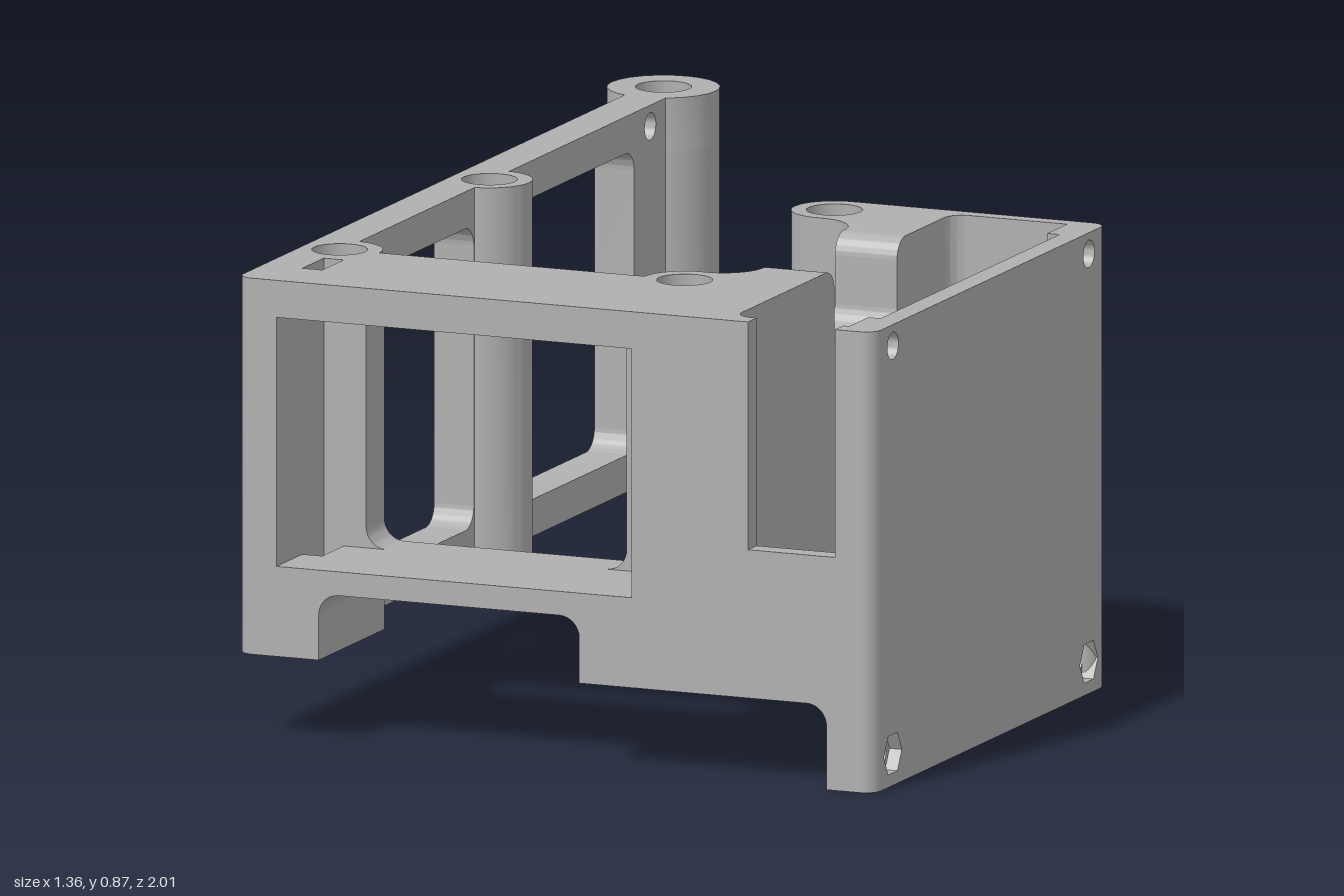
import * as THREE from 'three';
import { toCreasedNormals } from 'three/addons/utils/BufferGeometryUtils.js';

const PI = Math.PI, H = PI / 2;
const BOTTOM = 0.16, TOP = 0.87;

export function createModel() {
  const model = new THREE.Group();
  model.name = 'mountingBracket';
  const grey = new THREE.MeshStandardMaterial({ color: 0xb0b0b0 });
  grey.name = 'plain grey';

  const add = (name, geo) => {
    const mesh = new THREE.Mesh(geo, grey);
    mesh.name = name;
    model.add(mesh);
  };
  // Extrudes a shape along an axis from a to b. Shape coordinates: z:(x,y)  y:(x,z)  x:(z,y)
  const prism = (name, shape, axis, a, b) => {
    let geo = new THREE.ExtrudeGeometry(shape, { depth: b - a, bevelEnabled: false, curveSegments: 12 });
    if (axis === 'z') geo.translate(0, 0, a);
    if (axis === 'y') geo.rotateX(H).translate(0, b, 0);
    if (axis === 'x') geo.rotateY(-H).translate(b, 0, 0);
    add(name, toCreasedNormals(geo, 0.6));
  };
  const box = (name, x0, x1, y0, y1, z0, z1) => add(name,
    new THREE.BoxGeometry(x1 - x0, y1 - y0, z1 - z0)
      .translate((x0 + x1) / 2, (y0 + y1) / 2, (z0 + z1) / 2));
  const lines = (s, pts) => { pts.forEach(p => s.lineTo(...p)); return s; };
  const poly = pts => new THREE.Shape(pts.map(p => new THREE.Vector2(...p)));
  const rect = (a, b, c, d) => poly([[a, c], [b, c], [b, d], [a, d]]);
  const circle = (u, v, r) => new THREE.Path().absarc(u, v, r, 0, PI * 2, false);
  const hexagon = (u, v, r) => new THREE.Path([0, 1, 2, 3, 4, 5].map(i =>
    new THREE.Vector2(u + r * Math.cos(i * PI / 3), v + r * Math.sin(i * PI / 3))));
  const roundRect = (a, b, c, d, r) => new THREE.Path()
    .absarc(b - r, d - r, r, 0, H, false).absarc(a + r, d - r, r, H, PI, false)
    .absarc(a + r, c + r, r, PI, 3 * H, false).absarc(b - r, c + r, r, 3 * H, 4 * H, false)
    .closePath();
  // Concave corner filler at (u,v), opening towards (su,sv)
  const fillet = (name, u, v, su, sv, r, axis, a, b) => {
    const pts = [[u, v]];
    for (let i = 0; i <= 8; i++) {
      const t = H * i / 8;
      pts.push([u + su * r * (1 - Math.sin(t)), v + sv * r * (1 - Math.cos(t))]);
    }
    prism(name, poly(pts), axis, a, b);
  };
  const withHoles = (shape, ...holes) => { shape.holes.push(...holes); return shape; };

  // Long side wall with its windows and screw holes
  prism('rearSideFrame', withHoles(rect(-0.82, -0.08, BOTTOM, TOP),
    roundRect(-0.66, -0.084, 0.23, 0.8, 0.04),
    circle(-0.735, 0.83, 0.026), circle(-0.735, 0.26, 0.026)), 'x', -0.61, -0.53);
  prism('middleSideFrame', withHoles(rect(0.08, 0.615, BOTTOM, TOP),
    roundRect(0.084, 0.611, 0.23, 0.8, 0.04)), 'x', -0.61, -0.53);
  prism('frontSideFrame', withHoles(rect(0.78, 0.97, BOTTOM, TOP),
    circle(0.92, 0.83, 0.026), circle(0.92, 0.26, 0.026)), 'x', -0.61, -0.53);
  box('frontSideEdge', -0.58, -0.53, BOTTOM, TOP, 0.97, 1);
  add('frontSideRoundedEdge',
    new THREE.CylinderGeometry(0.03, 0.03, TOP - BOTTOM, 32).translate(-0.58, (BOTTOM + TOP) / 2, 0.97));

  // Rear post with a counterbored hole
  for (const [y0, y1, r] of [[BOTTOM, 0.77, 0.035], [0.77, TOP, 0.052]]) {
    const disc = new THREE.Shape().absarc(-0.575, -0.9, 0.105, 0, PI * 2, false);
    prism('rearPost', withHoles(disc, circle(-0.575, -0.9, r)), 'y', y0, y1);
  }

  // Middle post, flat on the outer side
  const middle = new THREE.Shape().moveTo(-0.61, -0.08).lineTo(-0.535, -0.08)
    .absarc(-0.535, 0, 0.08, -H, H, false).lineTo(-0.61, 0.08);
  prism('middlePost', withHoles(middle, circle(-0.535, 0, 0.052)), 'y', BOTTOM, TOP);

  // Front right post and corner, in layers around the front recess and small slot
  const slotted = [[-0.445, 1], [-0.53, 1], [-0.53, 0.88], [-0.49, 0.88], [-0.49, 0.78], [-0.61, 0.78]];
  const recessed = [[-0.445, 0.78], [-0.61, 0.78]];
  for (const [y0, y1, tail] of [[BOTTOM, 0.33, slotted], [0.33, 0.8, recessed], [0.8, TOP, slotted]]) {
    const s = new THREE.Shape().moveTo(-0.61, 0.615).lineTo(-0.535, 0.615)
      .absarc(-0.535, 0.695, 0.08, -H, 0, false).lineTo(-0.445, 0.695);
    prism('frontRightPost', withHoles(lines(s, tail), circle(-0.535, 0.695, 0.052)), 'y', y0, y1);
  }

  // Front left post and block, in layers around the recess and its shallow pocket
  const full = [[0.08, 1]];
  const recess = [[0.185, 1], [0.185, 0.78], [0.08, 0.78]];
  const pocket = [[0.185, 1], [0.185, 0.755], [0.11, 0.755], [0.11, 0.78], [0.08, 0.78]];
  for (const [y0, y1, tail] of [[BOTTOM, 0.33, full], [0.33, 0.47, recess], [0.47, 0.675, pocket],
    [0.675, 0.8, recess], [0.8, TOP, full]]) {
    const s = new THREE.Shape().moveTo(0.08, 0.695)
      .absarc(0.16, 0.695, 0.08, PI, 3 * H, false).lineTo(0.17, 0.615)
      .absarc(0.17, 0.535, 0.08, H, 0, true).lineTo(0.375, 0.535).lineTo(0.375, 1);
    prism('frontLeftBlock', withHoles(lines(s, tail), circle(0.16, 0.695, 0.052)), 'y', y0, y1);
  }

  // Bridges above and below the front window, with rounded corners
  box('frontSill', -0.445, 0.08, 0.285, 0.33, 0.695, 1);
  box('frontLintel', -0.445, 0.08, 0.8, TOP, 0.695, 1);
  for (const [x, sx] of [[-0.445, 1], [0.08, -1]]) {
    fillet('windowCorner', x, 0.33, sx, 1, 0.04, 'z', 0.695, 0.78);
    fillet('windowCorner', x, 0.8, sx, -1, 0.04, 'z', 0.695, 0.78);
    fillet('notchCorner', x, 0.285, sx, -1, 0.04, 'z', 0.695, 1);
  }

  // Rear left post and block
  const rearBlock = new THREE.Shape().moveTo(0.16, -0.08)
    .absarc(0.16, 0, 0.08, -H, -3 * H, true).lineTo(0.17, 0.08)
    .absarc(0.17, 0.16, 0.08, -H, 0, false);
  lines(rearBlock, [[0.25, 0.165], [0.375, 0.165], [0.375, -0.08]]);
  prism('rearLeftBlock', withHoles(rearBlock, circle(0.16, 0, 0.052)), 'y', BOTTOM, TOP);

  // Inner wall with a rounded dip in its top
  const dip = new THREE.Shape().moveTo(0.165, BOTTOM).lineTo(0.165, TOP)
    .absarc(0.165, 0.83, 0.04, H, 0, true).absarc(0.245, 0.74, 0.04, PI, 3 * H, false)
    .absarc(0.455, 0.74, 0.04, 3 * H, 4 * H, false).absarc(0.535, 0.83, 0.04, PI, H, true)
    .lineTo(0.535, BOTTOM);
  prism('dippedInnerWall', dip, 'x', 0.25, 0.375);

  // Open compartment: front and back walls, each with a leg
  const endWall = notch => {
    const s = new THREE.Shape().moveTo(0.375, BOTTOM).lineTo(0.538, BOTTOM)
      .absarc(0.538, 0.12, 0.04, H, 0, true);
    return lines(s, [[0.578, 0], [0.645, 0], [0.645, TOP], ...notch, [0.375, TOP]]);
  };
  prism('compartmentFrontWall',
    endWall([[0.595, TOP], [0.595, 0.44], [0.42, 0.44], [0.42, TOP]]), 'z', 0.96, 1);
  prism('compartmentBackWall', endWall([]), 'z', -0.08, -0.05);
  for (const z of [-0.05, 0.97])
    add('compartmentRoundedEdge', new THREE.CylinderGeometry(0.03, 0.03, TOP, 32).translate(0.645, TOP / 2, z));
  fillet('compartmentCorner', 0.375, -0.05, 1, 1, 0.035, 'y', BOTTOM, TOP);
  fillet('compartmentCorner', 0.375, 0.96, 1, -1, 0.035, 'y', BOTTOM, TOP);

  // Compartment side wall: screw holes, with hexagonal sinks outside at the bottom
  const zs = [0.005, 0.915];
  const upper = () => zs.map(z => circle(z, 0.83, 0.026));
  prism('compartmentSideWall', withHoles(rect(-0.05, 0.97, 0, TOP),
    ...upper(), ...zs.map(z => circle(z, 0.06, 0.027))), 'x', 0.632, 0.65);
  prism('compartmentSideSkin', withHoles(rect(-0.05, 0.97, 0, TOP),
    ...upper(), ...zs.map(z => hexagon(z, 0.06, 0.042))), 'x', 0.65, 0.675);
  [[-0.05, 0.042], [0.872, 0.96]].forEach(([a, b], i) =>
    prism('screwBoss', withHoles(rect(a, b, 0, TOP),
      circle(zs[i], 0.83, 0.026), circle(zs[i], 0.06, 0.027)), 'x', 0.607, 0.632));

  return model;
}
